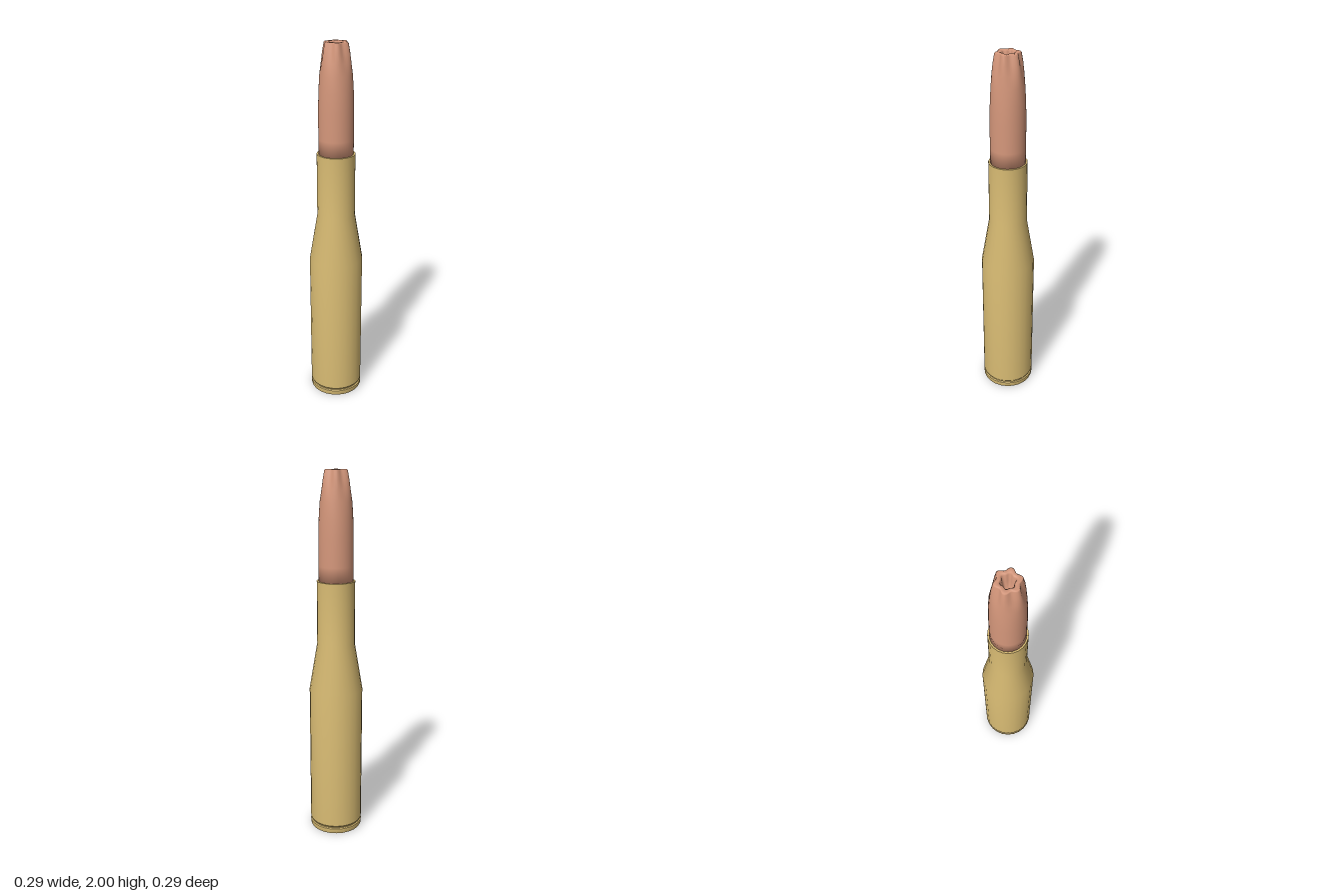
import * as THREE from 'three';
import { mergeVertices, toCreasedNormals } from 'three/addons/utils/BufferGeometryUtils.js';

const brass = new THREE.MeshStandardMaterial({ name: 'brass', color: 0xd8bb73 });
const copper = new THREE.MeshStandardMaterial({ name: 'copper', color: 0xd5977b });

const lathe = (profile, sides) =>
  new THREE.LatheGeometry(profile.map(([r, y]) => new THREE.Vector2(r, y)), sides);

function makeMesh(name, geometry, material) {
  const mesh = new THREE.Mesh(geometry, material);
  mesh.name = name;
  return mesh;
}

// Bottle-necked case: base, rim, shallow groove, body, shoulder, neck and open mouth
function createCasing() {
  const profile = [
    [0, 0], [0.143, 0], [0.146, 0.008], [0.146, 0.028],
    [0.14, 0.032], [0.14, 0.038], [0.146, 0.046], [0.146, 0.83],
    [0.102, 1.09], [0.102, 1.43], [0.093, 1.43], [0.091, 1.38], [0, 1.38],
  ];
  return makeMesh('casing', toCreasedNormals(lathe(profile, 24), 0.6), brass);
}

// Bullet whose nose is crimped into six lobes around a star-shaped hollow
function createBullet() {
  const profile = [
    [0, 1.42], [0.092, 1.425], [0.092, 1.51], [0.092, 1.66], [0.089, 1.76],
    [0.084, 1.84], [0.077, 1.9], [0.068, 1.95], [0.059, 1.995], [0.055, 2],
    [0.038, 2], [0.032, 1.992], [0.026, 1.95], [0.018, 1.9], [0, 1.89],
  ];
  const geometry = lathe(profile, 48);
  const p = geometry.attributes.position;
  for (let i = 0; i < p.count; i++) {
    const x = p.getX(i), y = p.getY(i), z = p.getZ(i);
    const radius = Math.hypot(x, z);
    const fade = THREE.MathUtils.smoothstep(y, 1.84, 2);
    const depth = radius > 0.045 ? 0.13 : 0.1;
    const k = 1 + depth * fade * Math.cos(6 * Math.atan2(z, x));
    p.setXYZ(i, x * k, y, z * k);
  }
  // Weld the seam so the shading runs smoothly all round
  geometry.deleteAttribute('uv');
  geometry.deleteAttribute('normal');
  const welded = mergeVertices(geometry, 1e-5);
  welded.computeVertexNormals();
  return makeMesh('bullet', welded, copper);
}

export function createModel() {
  const group = new THREE.Group();
  group.name = 'cartridge';
  group.add(createCasing(), createBullet());
  return group;
}
